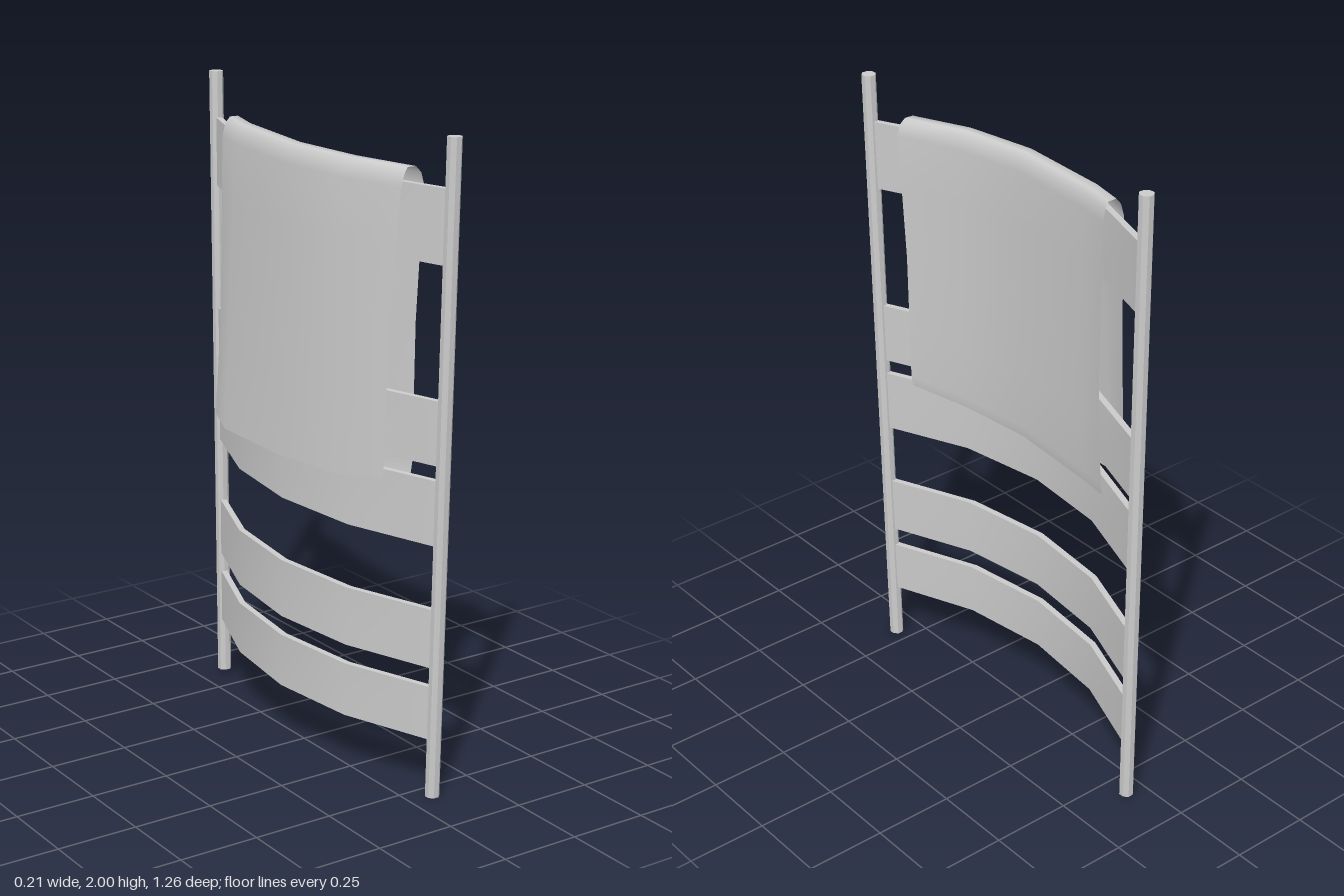
import * as THREE from 'three';

const material = new THREE.MeshStandardMaterial({ color: 0xcccccc });
const facetedMaterial = new THREE.MeshStandardMaterial({ color: 0xcccccc, flatShading: true });
const clothMaterial = new THREE.MeshStandardMaterial({ color: 0xcccccc, side: THREE.DoubleSide });
const lerp = THREE.MathUtils.lerp;

function addMesh(group, name, geometry, mat) {
  const mesh = new THREE.Mesh(geometry, mat);
  mesh.name = name;
  group.add(mesh);
}

// Slightly leaning eight-sided post between two heights
function postGeometry(z0, y0, z1, y1) {
  const g = new THREE.CylinderGeometry(0.022, 0.022, y1 - y0, 8);
  g.rotateY(Math.PI / 8);
  const p = g.attributes.position;
  for (let i = 0; i < p.count; i++) {
    const t = p.getY(i) / (y1 - y0) + 0.5;
    p.setXYZ(i, p.getX(i) + 0.08, lerp(y0, y1, t), p.getZ(i) + lerp(z0, z1, t));
  }
  return g;
}

// Bowed slat; each end has its own bottom and top height
const bow = [0.08, -0.03, -0.065, -0.03, 0.08];
function slatGeometry([frontLow, frontHigh, backLow, backHigh]) {
  const g = new THREE.BoxGeometry(0.02, 1, 1, 1, 1, 4);
  const p = g.attributes.position;
  const zFront = 0.555 + 0.028 * (frontLow + frontHigh) / 2;
  for (let i = 0; i < p.count; i++) {
    const t = p.getZ(i) + 0.5;
    const s = p.getY(i) + 0.5;
    p.setXYZ(i, p.getX(i) + bow[Math.round(t * 4)],
      lerp(lerp(backLow, frontLow, t), lerp(backHigh, frontHigh, t), s),
      lerp(-0.595, zFront, t));
  }
  g.computeVertexNormals();
  return g;
}

// Towel stations along the slat: z, fold centre x, outward swing of the right side, hem and fold heights
const stations = [
  [0.46, 0.043, 0.08, 0.97, 1.86],
  [0.27, -0.02, 0.06, 0.95, 1.868],
  [0.03, -0.047, 0.058, 0.945, 1.875],
  [-0.29, -0.014, 0.085, 0.95, 1.885],
  [-0.4, 0.015, 0.075, 0.965, 1.89],
];
// Towel path over the slat: side (-1 to 1), height fraction, pull of the ends in z
const drape = [
  [-1, 0, -0.005], [-1, 0.04, -0.005], [-1, 0.25, -0.01], [-1, 0.5, -0.01], [-1, 0.75, 0],
  [-1, 0.94, 0.01], [-0.8, 0.98, 0.01], [-0.4, 1, 0.005], [0.4, 1, 0.005], [0.8, 0.98, 0.01],
  [1, 0.94, 0.015], [1, 0.75, 0.005], [1, 0.5, -0.008], [1, 0.25, -0.008],
  [0.95, 0.04, -0.005], [0.8, 0, -0.005],
];
function towelGeometry() {
  const cols = stations.length;
  const g = new THREE.PlaneGeometry(1, 1, cols - 1, drape.length - 1);
  const p = g.attributes.position;
  for (let i = 0; i < p.count; i++) {
    const [z, centre, swing, hem, fold] = stations[i % cols];
    const [side, h, pull] = drape[Math.floor(i / cols)];
    let x = centre + side * 0.036;
    if (side === -1) x = lerp(centre - swing, centre - 0.04, Math.min(h / 0.94, 1));
    else if (h < 0.94) x -= 0.012 * (1 - h);
    // Only the two free ends waver
    const end = i % cols === 0 ? 1 : i % cols === cols - 1 ? -0.6 : 0;
    const waist = end < 0 && h < 0.1 ? -0.006 : 0;
    p.setXYZ(i, x, lerp(hem, fold, h), z + end * pull + waist);
  }
  g.computeVertexNormals();
  return g;
}

export function createModel() {
  const model = new THREE.Group();
  model.name = 'towelRack';

  addMesh(model, 'frontPost', postGeometry(0.555, 0, 0.608, 1.96), facetedMaterial);
  addMesh(model, 'backPost', postGeometry(-0.592, 0.02, -0.607, 2), facetedMaterial);

  const slats = [
    [0.18, 0.345, 0.2, 0.367],
    [0.405, 0.585, 0.43, 0.612],
    [0.78, 0.975, 0.817, 1.013],
    [1.02, 1.21, 1.06, 1.252],
    [1.6, 1.815, 1.645, 1.857],
  ];
  slats.forEach((s, i) => addMesh(model, 'slat' + (i + 1), slatGeometry(s), material));

  addMesh(model, 'towel', towelGeometry(), clothMaterial);
  return model;
}
